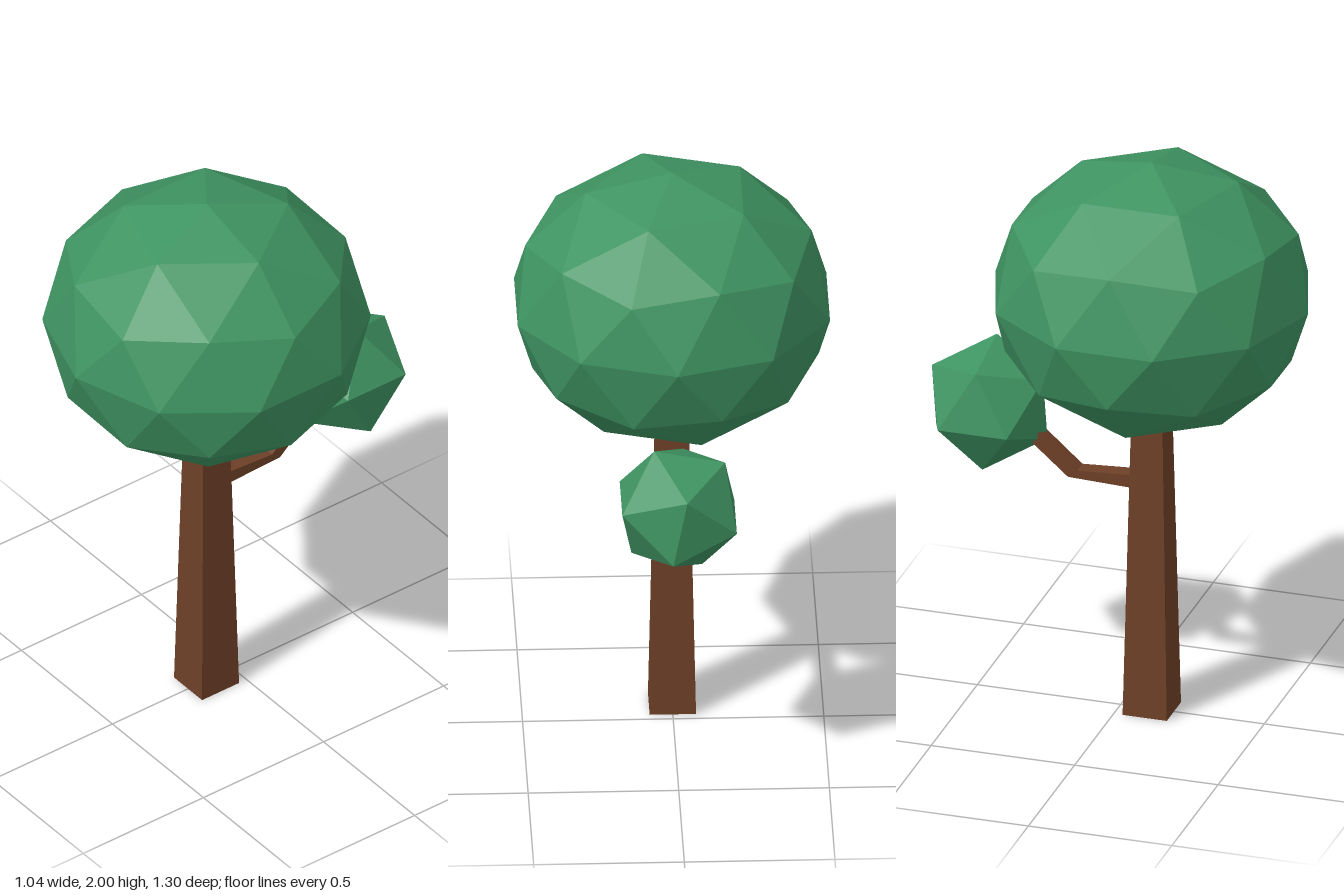
import * as THREE from 'three';

const leafMaterial = new THREE.MeshStandardMaterial({ color: 0x3f9462, flatShading: true });
const barkMaterial = new THREE.MeshStandardMaterial({ color: 0x6e4027, flatShading: true });

const TRUNK_Z = 0.108;

function addPart(group, name, geometry, material) {
  geometry.computeVertexNormals();
  const mesh = new THREE.Mesh(geometry, material);
  mesh.name = name;
  group.add(mesh);
  return mesh;
}

export function createModel() {
  const tree = new THREE.Group();
  tree.name = 'tree';

  // Square trunk, tapering up into the crown
  const trunkHeight = 1.15;
  const trunkGeometry = new THREE.CylinderGeometry(
    0.053 * Math.SQRT2, 0.077 * Math.SQRT2, trunkHeight, 4).toNonIndexed();
  trunkGeometry.rotateY(Math.PI / 4);
  trunkGeometry.translate(0, trunkHeight / 2, TRUNK_Z);
  addPart(tree, 'trunk', trunkGeometry, barkMaterial);

  // Bent branch: side profile (backward, up) extruded across the width
  const branchWidth = 0.058;
  const profile = new THREE.Shape([
    [-0.08, 0.811], [0.175, 0.821], [0.38, 0.998],
    [0.346, 1.026], [0.143, 0.848], [-0.08, 0.861],
  ].map(([back, up]) => new THREE.Vector2(back, up)));
  const branchGeometry = new THREE.ExtrudeGeometry(profile, { depth: branchWidth, bevelEnabled: false });
  branchGeometry.translate(0, 0, -branchWidth / 2);
  branchGeometry.rotateY(Math.PI / 2);
  addPart(tree, 'branch', branchGeometry, barkMaterial);

  // Large crown: faceted ball with a corner at its pole, slightly flattened
  const crownGeometry = new THREE.IcosahedronGeometry(1, 1);
  crownGeometry.rotateX(-Math.atan((1 + Math.sqrt(5)) / 2));
  crownGeometry.rotateY(Math.PI / 2);
  crownGeometry.scale(0.545, 0.476, 0.545);
  crownGeometry.translate(0, 1.524, TRUNK_Z);
  addPart(tree, 'crown', crownGeometry, leafMaterial);

  // Small leaf cluster at the end of the branch
  const clusterGeometry = new THREE.IcosahedronGeometry(0.228, 0);
  clusterGeometry.rotateZ(0.197);
  clusterGeometry.translate(0, 1.043, -0.457);
  addPart(tree, 'leafCluster', clusterGeometry, leafMaterial);

  return tree;
}
